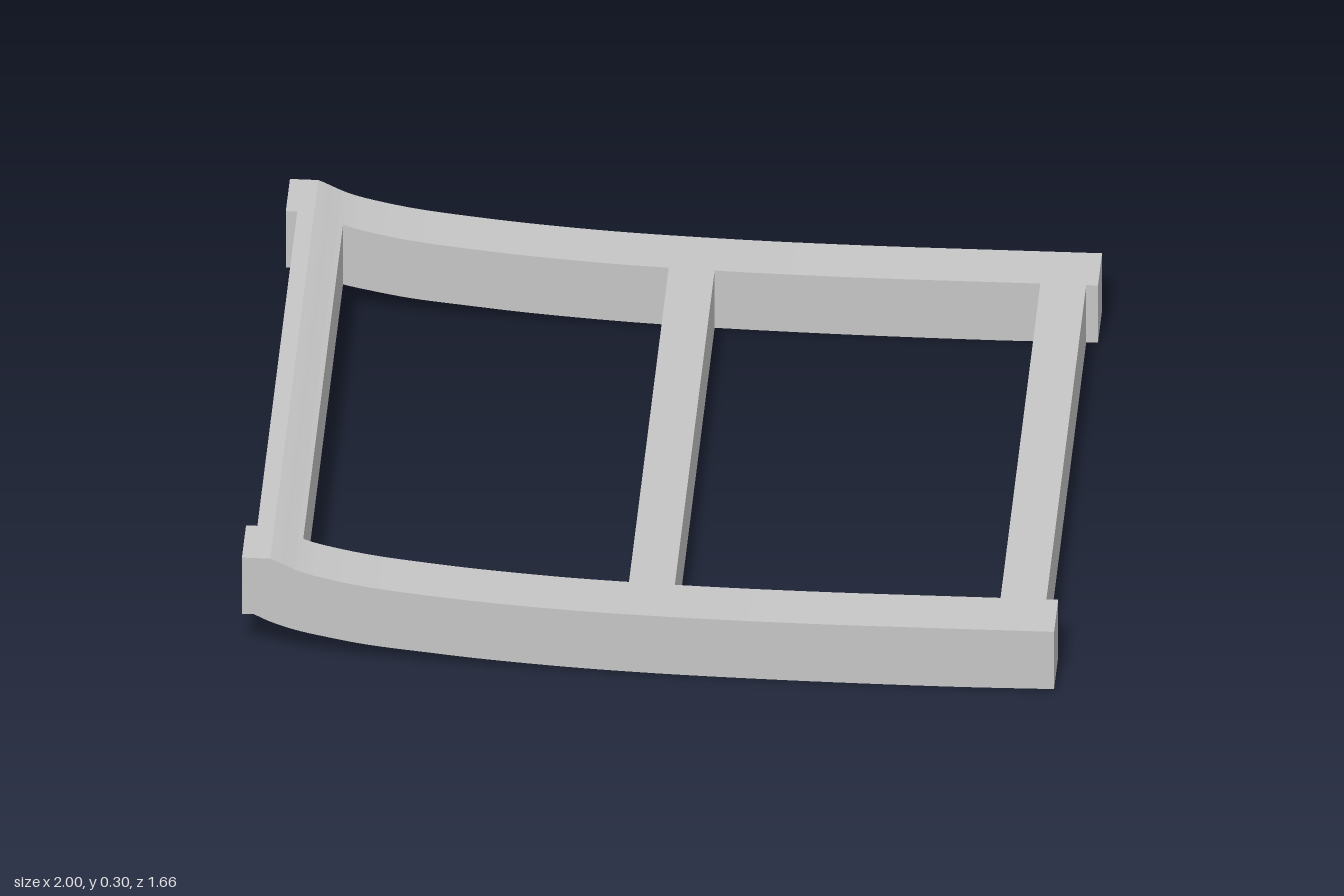
import * as THREE from 'three';

const spline = (pts) => new THREE.SplineCurve(pts.map(([x, y]) => new THREE.Vector2(x, y))).getPoints(60);

// Upper and lower edges of the bent frame, from the raised end to the flat end
const topEdge = [new THREE.Vector2(-1, 0.3), ...spline([
  [-0.93, 0.3], [-0.91, 0.291], [-0.86, 0.267], [-0.8, 0.249], [-0.69, 0.227], [-0.55, 0.21], [-0.4, 0.196],
  [-0.2, 0.183], [0, 0.176], [0.2, 0.172], [0.45, 0.171], [0.7, 0.173], [1, 0.176]])];
const bottomEdge = [new THREE.Vector2(-1, 0.133), ...spline([
  [-0.97, 0.133], [-0.93, 0.113], [-0.87, 0.092], [-0.8, 0.076], [-0.69, 0.056], [-0.55, 0.041], [-0.4, 0.027],
  [-0.2, 0.014], [0, 0.006], [0.2, 0.002], [0.45, 0], [0.75, 0.001], [1, 0.006]])];

// Height of an edge at x
function heightAt(edge, x) {
  let i = 1;
  while (i < edge.length - 1 && edge[i].x < x) i++;
  const a = edge[i - 1], b = edge[i];
  return a.y + (b.y - a.y) * (x - a.x) / (b.x - a.x);
}

// The part of an edge between x0 and x1
function slice(edge, x0, x1) {
  return [
    new THREE.Vector2(x0, heightAt(edge, x0)),
    ...edge.filter((p) => p.x > x0 + 1e-4 && p.x < x1 - 1e-4),
    new THREE.Vector2(x1, heightAt(edge, x1)),
  ];
}

// A bar of the bent profile between x0 and x1, running from z0 to z1
function bar(name, x0, x1, z0, z1, material) {
  const outline = [...slice(bottomEdge, x0, x1), ...slice(topEdge, x0, x1).reverse()];
  const geometry = new THREE.ExtrudeGeometry(new THREE.Shape(outline), { depth: z1 - z0, bevelEnabled: false });
  geometry.translate(0, 0, z0);
  const mesh = new THREE.Mesh(geometry, material);
  mesh.name = name;
  return mesh;
}

export function createModel() {
  const group = new THREE.Group();
  group.name = 'seatFrame';
  const grey = new THREE.MeshStandardMaterial({ color: 0xc6c6c6 });
  grey.name = 'lightGrey';
  const inner = 0.687, outer = 0.828;

  // Long curved side rails
  group.add(bar('frontRail', -1, 1, inner, outer, grey));
  group.add(bar('backRail', -1, 1, -outer, -inner, grey));

  // Cross bars, flush with the rails above and below
  group.add(bar('raisedEndBar', -0.972, -0.859, -inner, inner, grey));
  group.add(bar('middleBar', -0.057, 0.056, -inner, inner, grey));
  group.add(bar('flatEndBar', 0.858, 0.971, -inner, inner, grey));
  return group;
}
